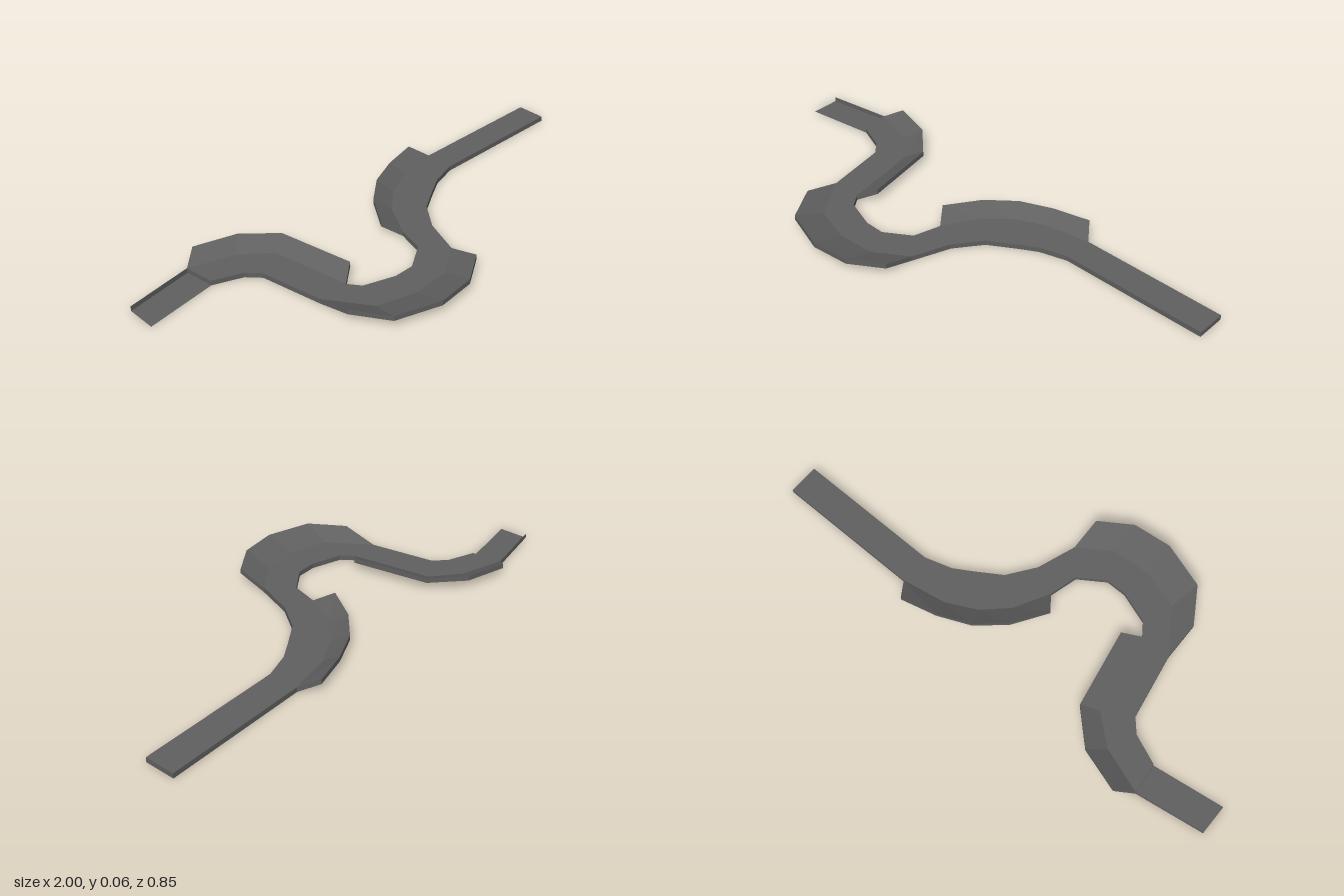
import * as THREE from 'three';

const THICK = 0.02; // slab thickness
const RISE = 0.036; // height gained by a banked edge

const roadMat = new THREE.MeshStandardMaterial({ color: 0x606060, flatShading: true });
const openMat = new THREE.MeshStandardMaterial({ color: 0x606060, flatShading: true, side: THREE.DoubleSide });

// Slab between two plan edges ([x, z] points), travelling along +x:
// a is the left-hand edge, b the right-hand edge, ya / yb their base heights.
function slab(name, a, b, { ya = 0, yb = 0, top = true, wallA = true, wallB = true, capStart = false, capEnd = false, mat = roadMat } = {}) {
  const pos = [];
  const quad = (p, q, r, s) => [p, q, r, p, r, s].forEach((v) => pos.push(...v));
  const section = (i) => ({
    at: [a[i][0], ya + THICK, a[i][1]],
    ab: [a[i][0], ya, a[i][1]],
    bt: [b[i][0], yb + THICK, b[i][1]],
    bb: [b[i][0], yb, b[i][1]],
  });
  for (let i = 0; i < a.length - 1; i++) {
    const s = section(i), e = section(i + 1);
    if (top) quad(s.at, s.bt, e.bt, e.at);
    quad(s.ab, e.ab, e.bb, s.bb); // underside
    if (wallA) quad(s.ab, s.at, e.at, e.ab);
    if (wallB) quad(s.bb, e.bb, e.bt, s.bt);
  }
  const s = section(0), e = section(a.length - 1);
  if (capStart) quad(s.ab, s.bb, s.bt, s.at);
  if (capEnd) quad(e.ab, e.at, e.bt, e.bb);
  const geo = new THREE.BufferGeometry();
  geo.setAttribute('position', new THREE.Float32BufferAttribute(pos, 3));
  geo.computeVertexNormals();
  const mesh = new THREE.Mesh(geo, mat);
  mesh.name = name;
  return mesh;
}

export function createModel() {
  const group = new THREE.Group();
  group.name = 'windingRoad';

  // first bend: outer rim, crease and inner edge
  const rim1 = [[-0.67, -0.425], [-0.505, -0.375], [-0.388, -0.263], [-0.332, 0.042]];
  const crease1 = [[-0.735, -0.375], [-0.56, -0.317], [-0.453, -0.227], [-0.398, 0.09]];
  const inner1 = [[-0.72, -0.256], [-0.608, -0.211], [-0.563, -0.161], [-0.518, 0.09]];

  // hairpin: banked on its right-hand side
  const inner2 = [[-0.398, 0.09], [-0.363, 0.139], [-0.243, 0.18], [-0.163, 0.18], [-0.063, 0.113]];
  const crease2 = [[-0.518, 0.09], [-0.408, 0.254], [-0.258, 0.299], [-0.108, 0.289], [0.018, 0.204]];
  const rim2 = [[-0.52, 0.233], [-0.435, 0.368], [-0.26, 0.425], [-0.108, 0.409], [0.015, 0.328]];

  // last bend: banked on its left-hand side
  const rim3 = [[-0.083, -0.061], [0.003, -0.192], [0.107, -0.282], [0.232, -0.337], [0.374, -0.373]];
  const crease3 = [[-0.033, 0.004], [0.042, -0.131], [0.132, -0.216], [0.252, -0.276], [0.424, -0.307]];
  const inner3 = [[0.072, 0.054], [0.148, -0.05], [0.243, -0.111], [0.318, -0.156], [0.424, -0.188]];

  // straight and linking pieces; the entry is an open floor with one kerb
  group.add(
    slab('entryRoad', [[-1, -0.333], crease1[0]], [[-1, -0.215], inner1[0]], { top: false, wallB: false, mat: openMat }),
    slab('linkRoad', [inner2[4], crease3[0]], [crease2[4], inner3[0]]),
    slab('exitRoad', [crease3[4], [1, -0.307]], [inner3[4], [1, -0.188]], { capEnd: true }),
  );

  // flat roadway of each bend
  group.add(
    slab('firstBendRoad', crease1, inner1, { wallA: false, capStart: true }),
    slab('hairpinRoad', inner2, crease2, { wallB: false }),
    slab('lastBendRoad', crease3, inner3, { wallA: false }),
  );

  // raised banks on the outside of each bend
  const ends = { capStart: true, capEnd: true };
  group.add(
    slab('firstBendBank', rim1, crease1, { ya: RISE, wallB: false, ...ends }),
    slab('hairpinBank', crease2, rim2, { yb: RISE, wallA: false, ...ends }),
    slab('lastBendBank', rim3, crease3, { ya: RISE, wallB: false, ...ends }),
  );
  return group;
}
